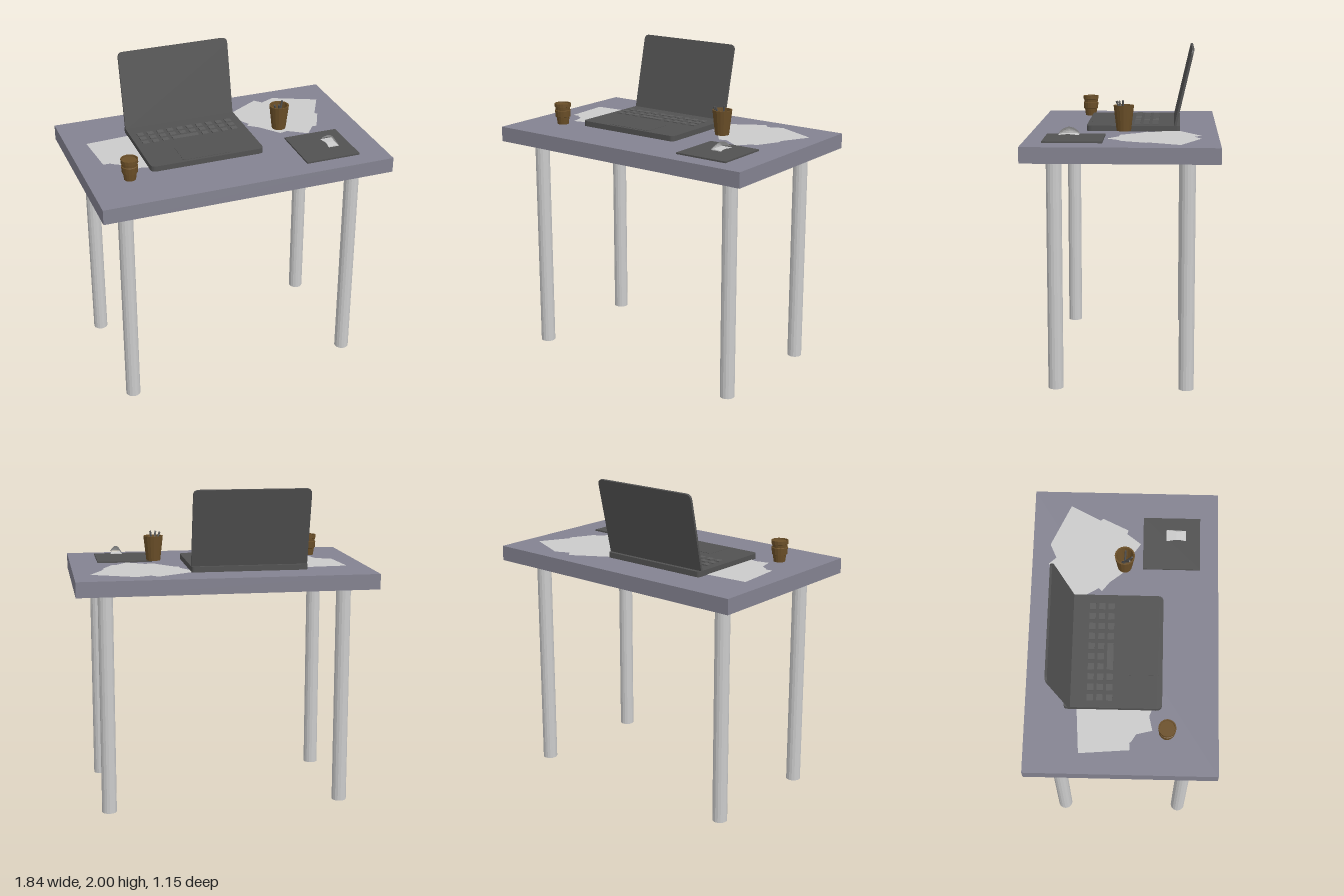
import * as THREE from 'three';

const mat = (color, flatShading = false, side = THREE.FrontSide) =>
  new THREE.MeshStandardMaterial({ color, flatShading, side });
const GREY = mat(0xcccccc);
const GREY_FLAT = mat(0xcccccc, true);
const PAPER = mat(0xcccccc, false, THREE.DoubleSide);
const TABLE = mat(0x848391);
const DARK = mat(0x525252);
const KEY = mat(0x5c5c5c);
const BROWN = mat(0x6b4f28, true, THREE.DoubleSide);
const TOP = 1.49; // height of the table surface

function add(parent, name, geometry, material, x = 0, y = 0, z = 0) {
  const mesh = new THREE.Mesh(geometry, material);
  mesh.name = name;
  mesh.position.set(x, y, z);
  parent.add(mesh);
  return mesh;
}

function group(parent, name) {
  const g = new THREE.Group();
  g.name = name;
  parent.add(g);
  return g;
}

// Rounded plate standing on y = 0, centred on x, extruded towards +z
function plate(w, h, depth, rTop, rBottom) {
  const a = w / 2;
  const s = new THREE.Shape();
  s.moveTo(-a + rBottom, 0);
  s.lineTo(a - rBottom, 0);
  s.quadraticCurveTo(a, 0, a, rBottom);
  s.lineTo(a, h - rTop);
  s.quadraticCurveTo(a, h, a - rTop, h);
  s.lineTo(-a + rTop, h);
  s.quadraticCurveTo(-a, h, -a, h - rTop);
  s.lineTo(-a, rBottom);
  s.quadraticCurveTo(-a, 0, -a + rBottom, 0);
  return new THREE.ExtrudeGeometry(s, { depth, bevelEnabled: false, curveSegments: 6 });
}

function lathe(points, sides) {
  return new THREE.LatheGeometry(points.map(([r, y]) => new THREE.Vector2(r, y)), sides);
}

function buildTable(parent) {
  const table = group(parent, 'table');
  add(table, 'tableTop', new THREE.BoxGeometry(1.84, 0.095, 1.155), TABLE, 0, TOP - 0.0475, 0);
  for (const x of [-0.74, 0.735])
    for (const z of [-0.39, 0.395])
      add(table, 'tableLeg', new THREE.CylinderGeometry(0.046, 0.046, 1.4, 16), GREY_FLAT, x, 0.7, z);
}

function buildLaptop(parent) {
  const laptop = group(parent, 'laptop');
  laptop.position.set(-0.16, TOP, 0);
  // Base lies flat with its front edge at z = 0.24
  const base = plate(0.725, 0.585, 0.034, 0.02, 0.035).rotateX(-Math.PI / 2);
  add(laptop, 'laptopBase', base, DARK, 0, 0, 0.24);
  // Screen leans backwards from the hinge
  const lid = plate(0.725, 0.497, 0.014, 0.035, 0).translate(0, 0, -0.014);
  add(laptop, 'laptopScreen', lid, DARK, 0, 0.025, -0.305).rotation.x = -0.225;
  const pad = plate(0.31, 0.19, 0.002, 0.012, 0.012).rotateX(-Math.PI / 2);
  add(laptop, 'trackpad', pad, DARK, 0, 0.034, 0.22);
  // Three rows of keys, the space bar replacing three in the last row
  for (let row = 0; row < 3; row++)
    for (let col = 0; col < 10; col++) {
      const bar = row === 2 && col === 4;
      if (row === 2 && (col === 3 || col === 5)) continue;
      add(laptop, bar ? 'spaceBar' : 'key', new THREE.BoxGeometry(bar ? 0.17 : 0.04, 0.008, 0.038),
        KEY, -0.3 + 0.065 * col, 0.037, -0.19 + 0.057 * row);
    }
}

function buildPapers(parent) {
  // Outlines of two fanned piles of sheets, as x, z
  const piles = [
    [[-0.795, -0.25], [-0.42, -0.275], [-0.42, 0.13], [-0.52, 0.18], [-0.56, 0.165], [-0.648, 0.185],
      [-0.672, 0.09], [-0.72, 0.06], [-0.725, 0.05], [-0.77, 0.052]],
    [[0.12, -0.3], [0.2, -0.345], [0.42, -0.475], [0.46, -0.43], [0.55, -0.47], [0.82, -0.347],
      [0.722, -0.16], [0.736, -0.145], [0.658, 0.015], [0.633, 0.008], [0.565, 0.095], [0.45, 0.018],
      [0.4, 0.03], [0.3, -0.095], [0.24, -0.14], [0.26, -0.16], [0.2, -0.26]],
  ];
  for (const pile of piles) {
    const shape = new THREE.Shape(pile.map(([x, z]) => new THREE.Vector2(x, -z)));
    add(parent, 'paperSheets', new THREE.ShapeGeometry(shape).rotateX(-Math.PI / 2), PAPER, 0, TOP + 0.003, 0);
  }
}

function buildCups(parent) {
  // Takeaway cup with sleeve and closed lid
  const coffee = lathe([[0, 0], [0.036, 0], [0.042, 0.045], [0.048, 0.048], [0.051, 0.09], [0.046, 0.093],
    [0.048, 0.112], [0.053, 0.114], [0.053, 0.135], [0.046, 0.135], [0.045, 0.127], [0, 0.127]], 16);
  add(parent, 'coffeeCup', coffee, BROWN, -0.667, TOP, 0.27);

  // Open holder with pens
  const holder = group(parent, 'penHolder');
  holder.position.set(0.4, 1.52, -0.002);
  const cup = lathe([[0, 0], [0.044, 0], [0.062, 0.155], [0.053, 0.155], [0.038, 0.01], [0, 0.01]], 16);
  add(holder, 'penCup', cup, BROWN);
  const up = new THREE.Vector3(0, 1, 0);
  const pens = [[-0.045, 0.175, 0.03], [0.018, 0.185, 0.005], [-0.02, 0.178, 0.045]];
  for (const [x, y, z] of pens) {
    const tip = new THREE.Vector3(x, y, z);
    const foot = new THREE.Vector3(-x * 0.5, 0.015, -z * 0.5);
    const dir = tip.clone().sub(foot);
    const pen = add(holder, 'pen', new THREE.CylinderGeometry(0.006, 0.006, dir.length(), 8), DARK);
    pen.position.copy(foot).add(tip).multiplyScalar(0.5);
    pen.quaternion.setFromUnitVectors(up, dir.normalize());
  }
}

// Arched, waisted body lofted through rings along z
function mouseGeometry() {
  // z, half width, bottom, top
  const stations = [[0.252, 0.036, 0, 0.006], [0.262, 0.038, 0, 0.022], [0.285, 0.034, 0.002, 0.038],
    [0.315, 0.029, 0.004, 0.045], [0.345, 0.031, 0.002, 0.035], [0.365, 0.034, 0, 0.02], [0.374, 0.034, 0, 0.006]];
  const n = 12, pos = [], idx = [];
  for (const [z, w, lo, hi] of stations)
    for (let i = 0; i < n; i++) {
      const a = (i / (n - 1)) * Math.PI;
      pos.push(w * Math.cos(a), lo + (hi - lo) * Math.sin(a), z);
    }
  const last = (stations.length - 1) * n;
  for (let s = 0; s < last; s += n)
    for (let i = 0; i < n; i++) {
      const a = s + i, b = s + ((i + 1) % n);
      idx.push(a, b, a + n, b, b + n, a + n);
    }
  for (let i = 1; i < n - 1; i++) idx.push(0, i + 1, i, last, last + i, last + i + 1);
  // Wind the skin outwards
  for (let t = 0; t < last * 6 / 1 && t < (stations.length - 1) * n * 6; t += 3)
    [idx[t + 1], idx[t + 2]] = [idx[t + 2], idx[t + 1]];
  const g = new THREE.BufferGeometry();
  g.setAttribute('position', new THREE.Float32BufferAttribute(pos, 3));
  g.setIndex(idx);
  const flat = g.toNonIndexed();
  flat.computeVertexNormals();
  return flat;
}

export function createModel() {
  const model = new THREE.Group();
  model.name = 'desk';
  buildTable(model);
  buildLaptop(model);
  buildPapers(model);
  buildCups(model);
  add(model, 'mousePad', new THREE.BoxGeometry(0.35, 0.01, 0.355), DARK, 0.57, TOP + 0.005, 0.2875);
  add(model, 'mouse', mouseGeometry(), GREY, 0.613, 1.525, 0);
  return model;
}
